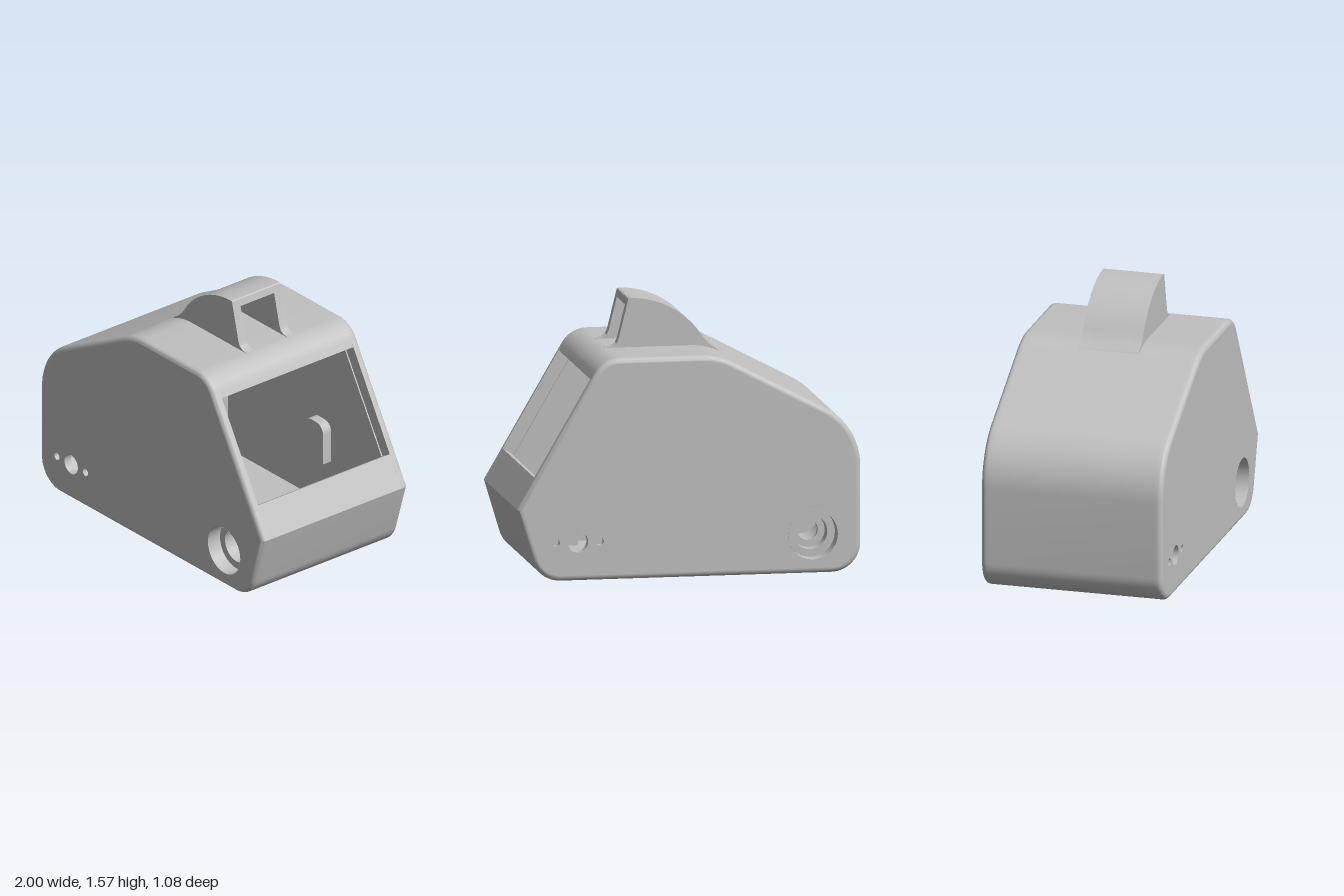
import * as THREE from 'three';
import { toCreasedNormals } from 'three/addons/utils/BufferGeometryUtils.js';

const WALL = 0.05, HALF = 0.54, INNER = HALF - WALL, BEVEL = 0.03;
const V = (x, y) => new THREE.Vector2(x, y);

// Polygon from [x, y, cornerRadius] rows, listed counterclockwise
function roundedPolygon(corners, steps = 12) {
  const out = [];
  corners.forEach(([x, y, r], i) => {
    const p = V(x, y), n = corners.length;
    if (!r) return out.push(p);
    const a = V(...corners[(i + n - 1) % n]).sub(p).normalize();
    const b = V(...corners[(i + 1) % n]).sub(p).normalize();
    const half = Math.acos(a.dot(b)) / 2;
    const centre = p.clone().add(a.clone().add(b).normalize().multiplyScalar(r / Math.sin(half)));
    const start = p.clone().addScaledVector(a, r / Math.tan(half)).sub(centre);
    const sweep = Math.PI - 2 * half;
    for (let k = 0; k <= steps; k++) {
      out.push(start.clone().rotateAround(V(0, 0), sweep * k / steps).add(centre));
    }
  });
  return out;
}

// Moves every edge of a counterclockwise outline inward by d
function inset(pts, d) {
  const n = pts.length;
  return pts.map((p, i) => {
    const e1 = p.clone().sub(pts[(i + n - 1) % n]).normalize();
    const e2 = pts[(i + 1) % n].clone().sub(p).normalize();
    const s = d / (1 + e1.dot(e2));
    return V(p.x - (e1.y + e2.y) * s, p.y + (e1.x + e2.x) * s);
  });
}

function extrude(pts, z0, z1, holes = []) {
  const shape = new THREE.Shape(pts);
  shape.holes.push(...holes);
  const g = new THREE.ExtrudeGeometry(shape, { depth: z1 - z0, bevelEnabled: false, curveSegments: 32 });
  return toCreasedNormals(g.translate(0, 0, z0), 0.5);
}

const circle = (x, y, r) => new THREE.Path().absarc(x, y, r, 0, Math.PI * 2, true);

// Surface turned around a z axis; profile rows are [radius, z]
function turned(profile, x, y) {
  const g = new THREE.LatheGeometry(profile.map(p => V(...p)), 32).rotateX(Math.PI / 2).translate(x, y, 0);
  return toCreasedNormals(g.toNonIndexed(), 0.5);
}

// Rounded rim of a side plate, lofted from inset outlines
function rimGeometry(outline) {
  const rings = [[0, INNER]];
  for (let k = 0; k <= 6; k++) {
    const t = k / 6 * Math.PI / 2;
    rings.push([BEVEL * (1 - Math.cos(t)), HALF - BEVEL + BEVEL * Math.sin(t)]);
  }
  const pos = [], idx = [], n = outline.length;
  rings.forEach(([d, z], k) => {
    inset(outline, d).forEach((p, i) => {
      pos.push(p.x, p.y, z);
      if (!k) return;
      const j = (i + 1) % n, a = (k - 1) * n, b = k * n;
      idx.push(a + i, a + j, b + j, a + i, b + j, b + i);
    });
  });
  const g = new THREE.BufferGeometry();
  g.setAttribute('position', new THREE.Float32BufferAttribute(pos, 3));
  g.setIndex(idx);
  return toCreasedNormals(g.toNonIndexed(), 0.6);
}

export function createModel() {
  const model = new THREE.Group();
  model.name = 'housing';
  const grey = new THREE.MeshStandardMaterial({ color: 0xc0c0c0, side: THREE.DoubleSide });
  grey.name = 'grey';
  const add = (name, geometry, parent = model) => {
    const mesh = new THREE.Mesh(geometry, grey);
    mesh.name = name;
    parent.add(mesh);
    return mesh;
  };

  // Side outline, starting at the top of the sloped window face
  const outline = roundedPolygon([
    [0.497, 1.285, 0.17], [-0.17, 1.285, 0.4], [-1, 0.848, 0.38],
    [-1, 0, 0.17], [0.874, 0, 0.17], [1, 0.42, 0],
  ]);

  // Wrapped wall, open at the window
  const inner = inset(outline, WALL);
  const windowTop = V(0.567, 1.16), windowBottom = V(0.895, 0.6);
  const inward = V(-0.863, -0.505);
  const deeper = (p, d) => p.clone().addScaledVector(inward, d);
  add('shell', extrude([
    windowTop, ...outline, windowBottom,
    deeper(windowBottom, WALL), ...inner.reverse(), deeper(windowTop, WALL),
  ], -INNER, INNER));

  // Side plates; the back one is a mirrored outline turned round
  const holeY = 0.225;
  const sidePlate = (name, pts, boreX, pinX) => {
    const side = new THREE.Group();
    side.name = name;
    model.add(side);
    add('rim', rimGeometry(pts), side);

    // Outer and inner faces with their holes
    const face = new THREE.Shape(inset(pts, BEVEL));
    face.holes.push(circle(boreX, holeY, 0.145), circle(pinX, holeY, 0.06));
    const lining = new THREE.Shape(pts);
    lining.holes.push(circle(boreX, holeY, 0.145), circle(pinX, holeY, 0.06));
    for (const s of [-1, 1]) face.holes.push(circle(pinX + s * 0.128, holeY, 0.023));
    add('outerFace', new THREE.ShapeGeometry(face, 32).translate(0, 0, HALF), side);
    add('innerFace', new THREE.ShapeGeometry(lining, 32).translate(0, 0, INNER), side);

    // Stepped bore with its inner boss
    add('steppedBore', turned([
      [0.145, HALF], [0.145, 0.45], [0.1, 0.45], [0.1, 0.37], [0.06, 0.37], [0.06, 0.34], [0.145, 0.34],
    ], boreX, holeY), side);
    add('boreBoss', extrude([
      V(boreX - 0.165, 0.04), V(boreX + 0.165, 0.04), V(boreX + 0.165, 0.39), V(boreX - 0.165, 0.39),
    ], 0.34, INNER, [circle(boreX, holeY, 0.145)]), side);

    // Plain hole between two small blind holes
    add('pinHole', turned([[0.06, HALF], [0.06, INNER]], pinX, holeY), side);
    for (const s of [-1, 1]) {
      add('screwHole', turned([[0.023, HALF], [0.023, 0.5], [0, 0.5]], pinX + s * 0.128, holeY), side);
    }
    return side;
  };
  sidePlate('frontSide', outline, 0.65, -0.72);
  const mirrored = outline.map(p => V(-p.x, p.y)).reverse();
  sidePlate('backSide', mirrored, 0.72, -0.65).rotation.y = Math.PI;

  // Slim guide rails behind the window opening
  const rail = [[windowBottom, 0.075], [windowTop, 0.075], [windowTop, 0.11], [windowBottom, 0.11]]
    .map(([p, d]) => deeper(p, d));
  add('frontRail', extrude(rail, INNER - 0.008, INNER));
  add('backRail', extrude(rail, -INNER, -INNER + 0.008));

  // Small rounded rib on the inside of the back wall
  add('innerRib', extrude(roundedPolygon([
    [0.2, 0.34, 0], [0.37, 0.34, 0], [0.37, 0.59, 0.06], [0.2, 0.59, 0.06],
  ], 6), -INNER, -INNER + 0.06));

  // Hood: two cheeks and a curved roof, open toward +x
  const arc = (r, a0, a1) => Array.from({ length: 21 }, (_, k) => {
    const a = a0 + (a1 - a0) * k / 20;
    return V(0.28 + r * Math.cos(a), 1.07 + r * Math.sin(a));
  });
  const foot = [V(-0.24, 1.2), V(-0.225, 1.262), V(-0.19, 1.285), V(-0.16, 1.315)];
  const outerArc = arc(0.5, 2.57, Math.PI / 2);
  const cheek = [...foot, ...outerArc, V(0.288, 1.565), V(0.345, 1.335),
    V(0.357, 1.308), V(0.38, 1.292), V(0.42, 1.285), V(0.42, 1.2)];
  const roof = [...foot, ...outerArc, V(0.288, 1.565), V(0.298, 1.525), ...arc(0.455, Math.PI / 2, 2.6), V(-0.1, 1.2)];
  const hood = new THREE.Group();
  hood.name = 'hood';
  model.add(hood);
  // The base of each part stays inside the wall
  const trim = pts => pts.map(p => V(p.x, Math.max(p.y, 1.245)));
  add('frontCheek', extrude(trim(cheek), 0.125, 0.18), hood);
  add('backCheek', extrude(trim(cheek), -0.18, -0.125), hood);
  add('hoodRoof', extrude(trim(roof), -0.125, 0.125), hood);

  return model;
}
